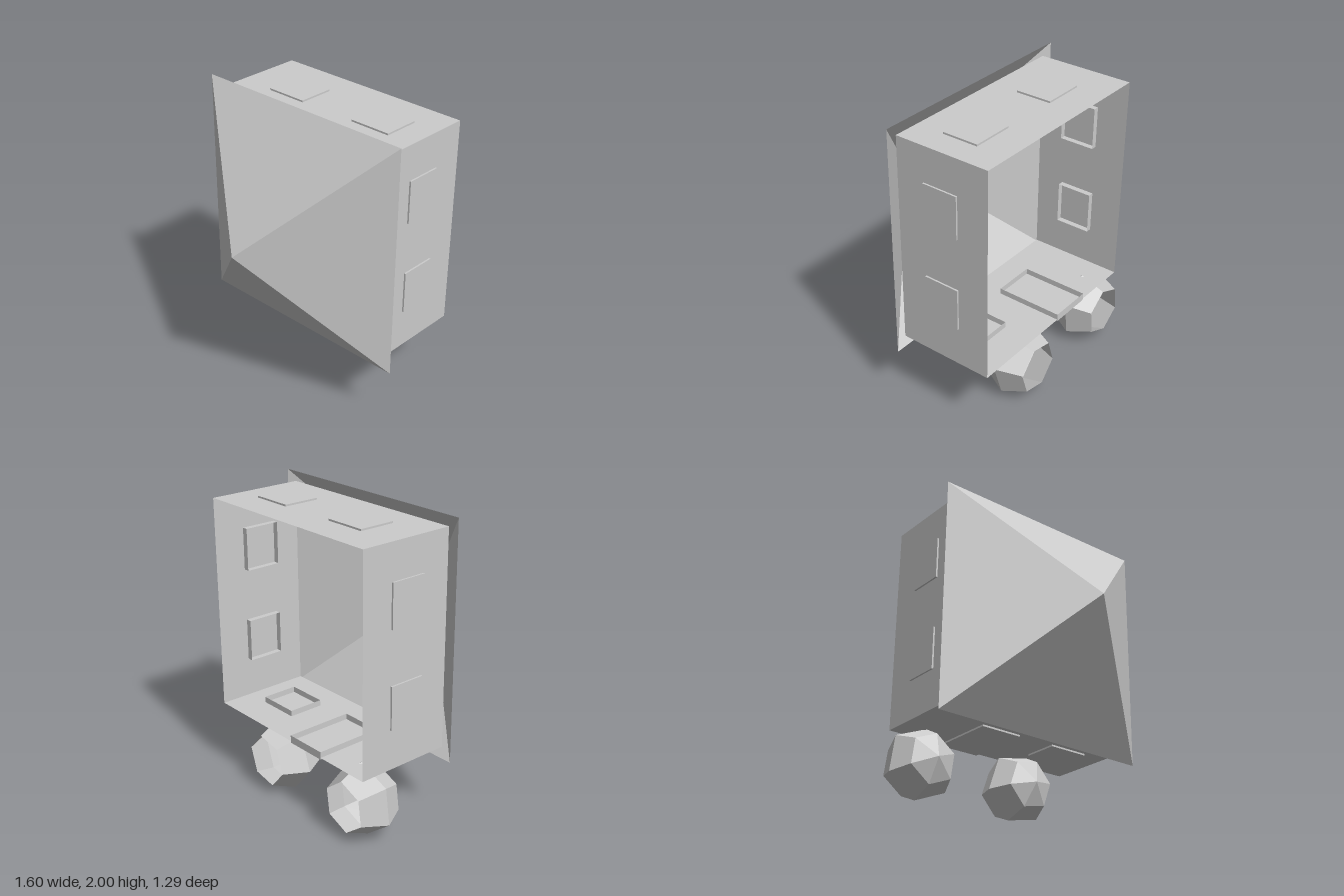
import * as THREE from 'three';

const material = new THREE.MeshStandardMaterial({
  color: 0xcccccc, flatShading: true, side: THREE.DoubleSide,
});

function mesh(name, geometry) {
  const m = new THREE.Mesh(geometry, material);
  m.name = name;
  return m;
}

// Rectangular sleeve along y, open at both ends
function sleeve(w, h, d) {
  const r = Math.SQRT1_2;
  return new THREE.CylinderGeometry(r, r, 1, 4, 1, true).rotateY(Math.PI / 4).scale(w, h, d);
}

// Shallow tray set through a wall: closed outside (local +y), open inside
function windowTray(name, w, d) {
  const inner = -0.04, outer = 0.012;
  const g = new THREE.Group();
  g.name = name;
  g.add(mesh('frame', sleeve(w, outer - inner, d).translate(0, (outer + inner) / 2, 0)));
  g.add(mesh('pane', new THREE.PlaneGeometry(w, d).rotateX(-Math.PI / 2).translate(0, outer, 0)));
  return g;
}

export function createModel() {
  const model = new THREE.Group();
  const half = 0.72, midY = 1.205, wallH = 0.725;

  // Hollow pyramid facing forward
  const roof = mesh('roof', new THREE.ConeGeometry(0.8 * Math.SQRT2, 0.6, 4, 1, true)
    .rotateY(Math.PI / 4).rotateX(Math.PI / 2));
  roof.position.set(0, 1.2, 0.345);
  model.add(roof);

  // Four thin walls, open at the back and towards the roof
  const walls = mesh('walls', sleeve(2 * half, 0.67, 2 * wallH).rotateX(Math.PI / 2));
  walls.position.set(0, midY, -0.285);
  model.add(walls);

  // Windows: x, y, turn about z
  const q = Math.PI / 2;
  const windows = [[-0.31, midY + wallH, 0], [0.395, midY + wallH, 0], [0.395, midY - wallH, 2 * q]];
  for (const y of [0.895, 1.545]) windows.push([half, y, -q], [-half, y, q]);
  for (const [x, y, turn] of windows) {
    const w = windowTray('window', 0.29, 0.25);
    w.position.set(x, y, -0.275);
    w.rotation.z = turn;
    model.add(w);
  }

  // Door on the lower wall, reaching the back edge
  const door = windowTray('door', 0.3, 0.47);
  door.position.set(-0.175, midY - wallH, -0.385);
  door.rotation.z = Math.PI;
  model.add(door);

  // Six-sided bushes, open at the back
  const profile = [[0.173, -0.173], [0.245, 0], [0.173, 0.14], [0, 0.205]]
    .map(([r, h]) => new THREE.Vector2(r, h));
  for (const [x, turn] of [[-0.57, -7.5], [0.215, -18.5]]) {
    const bush = mesh('bush', new THREE.LatheGeometry(profile, 6).rotateX(Math.PI / 2));
    bush.position.set(x, 0.245, -0.47);
    bush.rotation.z = THREE.MathUtils.degToRad(turn);
    model.add(bush);
  }
  return model;
}
